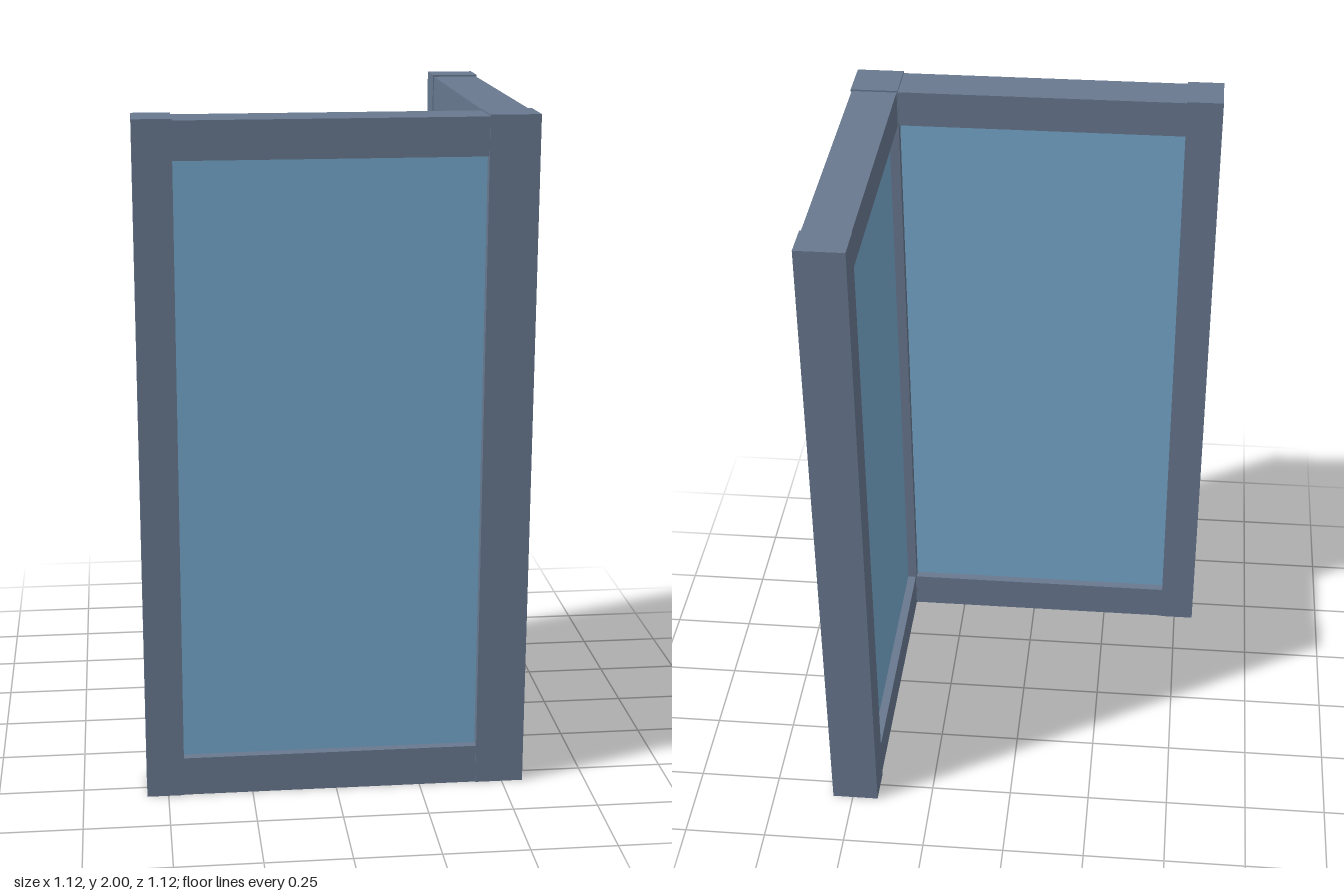
import * as THREE from 'three';

export function createModel() {
  const model = new THREE.Group();
  model.name = 'cornerWindow';
  const frame = new THREE.MeshStandardMaterial({ color: 0x68788f });
  frame.name = 'slate frame';
  const glass = new THREE.MeshStandardMaterial({ color: 0x76a8cc });
  glass.name = 'blue glass';

  // Box given by its low and high corners
  function box(parent, name, material, [x0, y0, z0], [x1, y1, z1]) {
    const mesh = new THREE.Mesh(new THREE.BoxGeometry(x1 - x0, y1 - y0, z1 - z0), material);
    mesh.position.set((x0 + x1) / 2, (y0 + y1) / 2, (z0 + z1) / 2);
    mesh.name = name;
    parent.add(mesh);
  }

  const outer = 0.5625, inner = 0.42, postEnd = -0.453;
  const railInset = 0.003, glassInset = 0.03;

  // Shared corner post
  box(model, 'cornerPost', frame, [inner, 0, inner], [outer, 2, outer]);

  // Two wings: one along x at the front, one along z at the left
  for (const side of ['front', 'left']) {
    const wing = new THREE.Group();
    wing.name = side + 'Wing';
    // Swap x and z for the left wing
    const place = ([a, y, d]) => (side === 'front' ? [a, y, d] : [d, y, a]);
    const add = (name, mat, lo, hi) => box(wing, name, mat, place(lo), place(hi));

    add('endPost', frame, [-outer, 0, inner], [postEnd, 2, outer]);
    const lo = inner + railInset, hi = outer - railInset;
    add('bottomRail', frame, [postEnd, 0, lo], [inner, 0.117, hi]);
    add('topRail', frame, [postEnd, 1.885, lo], [inner, 1.995, hi]);
    add('glassPane', glass, [postEnd, 0.117, inner + glassInset], [inner, 1.885, outer - glassInset]);
    model.add(wing);
  }
  return model;
}
